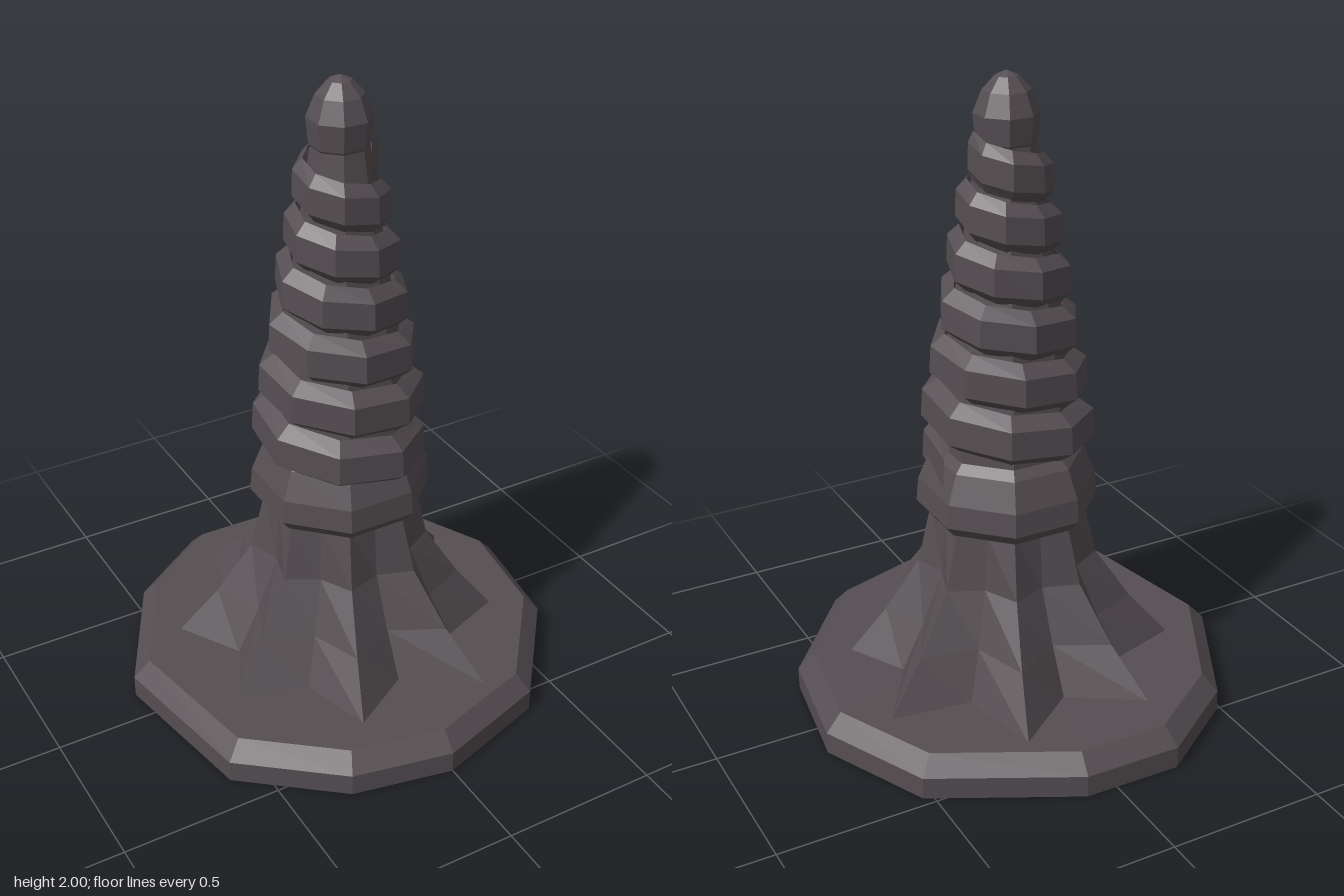
import * as THREE from 'three';

// Skin rows of points (bottom to top, each running from +x towards +z) with flat faces
function loft(rows, closed = true) {
  const pos = [];
  for (let i = 0; i < rows.length - 1; i++) {
    const n = rows[i].length;
    for (let j = 0; j < (closed ? n : n - 1); j++) {
      const k = (j + 1) % n;
      const a = rows[i][j], b = rows[i][k], c = rows[i + 1][k], d = rows[i + 1][j];
      pos.push(...a, ...d, ...c, ...a, ...c, ...b);
    }
  }
  const g = new THREE.BufferGeometry();
  g.setAttribute('position', new THREE.Float32BufferAttribute(pos, 3));
  g.computeVertexNormals();
  return g;
}

const polar = (r, a, y) => [r * Math.cos(a), y, r * Math.sin(a)];

// Eight-sided ring with its corners turned by an eighth of a quarter turn
const octagon = (r, y) =>
  Array.from({ length: 8 }, (_, j) => polar(r, (j + 0.5) * Math.PI / 4, y));

export function createModel() {
  const model = new THREE.Group();
  const stone = new THREE.MeshStandardMaterial({ color: 0x554e52, flatShading: true, side: THREE.DoubleSide });
  stone.name = 'dark stone';
  const add = (name, geometry) => {
    const mesh = new THREE.Mesh(geometry, stone);
    mesh.name = name;
    model.add(mesh);
  };

  // Irregular bevelled base slab
  const outline = [[0.69, -0.13], [0.635, 0.24], [0.365, 0.575], [0, 0.69], [-0.315, 0.625], [-0.605, 0.39],
    [-0.695, -0.11], [-0.485, -0.505], [-0.21, -0.695], [0.1, -0.69], [0.53, -0.47]];
  const slab = [[0, 0], [1, 0], [1, 0.07], [0.925, 0.125], [0, 0.125]];
  add('baseSlab', loft(slab.map(([s, y]) => outline.map(([x, z]) => [x * s, y, z * s]))));

  // Flared foot with eight buttress ridges; rows are ridge radius, valley radius, height
  const tips = [[0.475, 0.185], [0.225, 0.52], [-0.2, 0.495], [-0.47, 0.19],
    [-0.49, -0.2], [-0.22, -0.515], [0.21, -0.53], [0.52, -0.23]];
  const flare = [[0.53, 0.375, 0.12], [0.4, 0.3, 0.27], [0.285, 0.23, 0.44], [0.24, 0.215, 0.63]];
  add('flaredFoot', loft(flare.map(([ridge, valley, y], level) => {
    const row = [];
    tips.forEach(([x, z], j) => {
      const even = (j + 0.5) * Math.PI / 4;
      // The ridge tips are uneven at the ground and even out upwards
      const t = level / 3;
      const tip = polar(ridge, even, y);
      row.push([THREE.MathUtils.lerp(x * ridge / 0.53, tip[0], t), y,
        THREE.MathUtils.lerp(z * ridge / 0.53, tip[2], t)]);
      row.push(polar(valley, even + Math.PI / 8, y));
    });
    return row;
  })));

  // Collar above the foot
  const collar = [[0.2, 0.6], [0.255, 0.62], [0.283, 0.655], [0.276, 0.73], [0.24, 0.82], [0.2, 0.86]];
  add('collar', loft(collar.map(([r, y]) => octagon(r, y))));

  // Tapering core under the spiral
  const core = [[0.215, 0.8], [0.205, 1.0], [0.18, 1.2], [0.145, 1.4], [0.115, 1.6], [0.085, 1.8]];
  add('core', loft(core.map(([r, y]) => octagon(r, y))));

  // Spiral thread: outer radius by height, wound with a shrinking pitch
  const profile = [[0.7, 0.28], [0.85, 0.278], [1.0, 0.262], [1.2, 0.232], [1.4, 0.195], [1.6, 0.153], [1.8, 0.122]];
  const radiusAt = (y) => {
    const i = Math.min(profile.length - 2, Math.max(0, profile.findIndex((p) => p[0] > y) - 1));
    const [y0, r0] = profile[i], [y1, r1] = profile[i + 1];
    return r0 + (r1 - r0) * (y - y0) / (y1 - y0);
  };
  const turns = 6.2, steps = 51;
  const thread = [[], [], [], []];
  for (let i = 0; i <= steps; i++) {
    const t = turns * i / steps;
    const a = t * Math.PI * 2 - 0.2;
    const y = 0.81 + 0.165 * t - 0.0015 * t * t;
    const half = 0.08 - 0.0013 * t;
    const fade = Math.min(1, (i + 1) / 3, (steps - i) / 3);
    const r = radiusAt(y), inner = r * 0.84;
    const lip = inner + (r - inner) * fade;
    thread[0].push(polar(inner - 0.005, a, y - half));
    thread[1].push(polar(lip, a, y - half * 0.55));
    thread[2].push(polar(lip * 0.98, a, y + half * 0.55));
    thread[3].push(polar(inner - 0.01, a, y + half));
  }
  add('spiralThread', loft(thread, false));

  // Faceted pointed tip
  const tip = [[0.07, 1.77], [0.09, 1.8], [0.098, 1.88], [0.072, 1.945], [0.035, 1.985], [0, 2]];
  add('pointedTip', loft(tip.map(([r, y]) => octagon(r, y))));

  return model;
}
